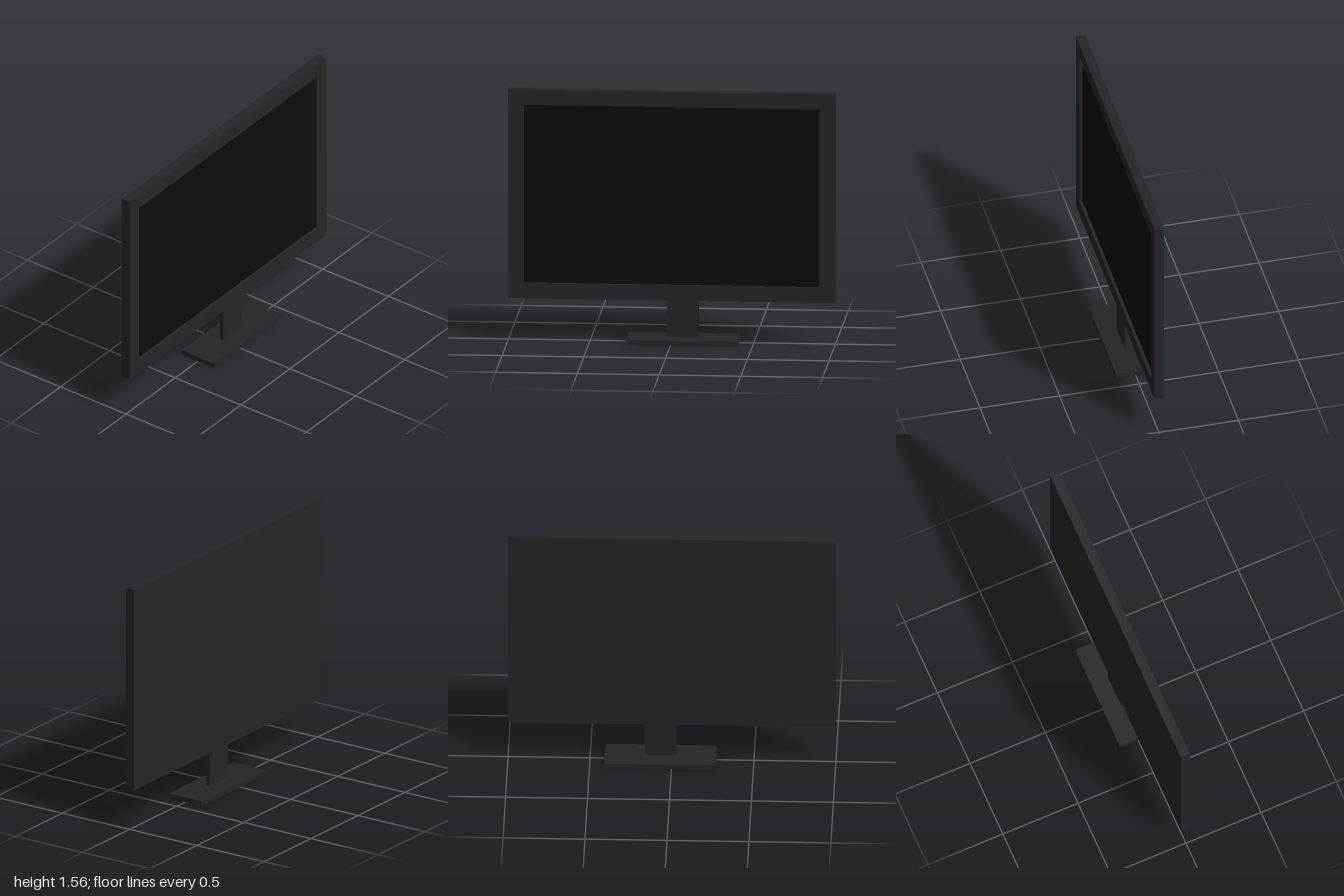
import * as THREE from 'three';

const casingMaterial = new THREE.MeshStandardMaterial({ color: 0x262626 });
const screenMaterial = new THREE.MeshStandardMaterial({ color: 0x0d0d0d });

// Box given by its lower and upper corners
function box(name, min, max, material = casingMaterial) {
  const size = max.map((v, i) => v - min[i]);
  const mesh = new THREE.Mesh(new THREE.BoxGeometry(...size), material);
  mesh.position.set(...max.map((v, i) => (v + min[i]) / 2));
  mesh.name = name;
  return mesh;
}

function rectangle(path, halfWidth, bottom, top) {
  path.moveTo(-halfWidth, bottom);
  path.lineTo(halfWidth, bottom);
  path.lineTo(halfWidth, top);
  path.lineTo(-halfWidth, top);
  path.closePath();
  return path;
}

export function createModel() {
  const model = new THREE.Group();
  model.name = 'monitor';
  const back = -0.033, front = 0.027, recess = 0.02;
  const seat = front - recess;

  // Solid rear casing
  model.add(box('rearCasing', [back, 0.26, -1], [seat, 1.56, 1]));

  // Raised bezel around the screen, facing +x
  const outline = rectangle(new THREE.Shape(), 1, 0.26, 1.56);
  outline.holes.push(rectangle(new THREE.Path(), 0.905, 0.355, 1.465));
  const bezelGeometry = new THREE.ExtrudeGeometry(outline, { depth: recess, bevelEnabled: false });
  bezelGeometry.rotateY(Math.PI / 2);
  const bezel = new THREE.Mesh(bezelGeometry, casingMaterial);
  bezel.position.x = seat;
  bezel.name = 'bezel';
  model.add(bezel);

  // Recessed screen
  model.add(box('screen', [seat - 0.005, 0.355, -0.905], [seat + 0.001, 1.465, 0.905], screenMaterial));

  // Stand, set off centre
  model.add(box('neck', [-0.01, 0.001, -0.165], [0.01, 0.27, 0.03]));
  model.add(box('base', [-0.123, 0, -0.41], [0.123, 0.03, 0.27]));

  return model;
}
